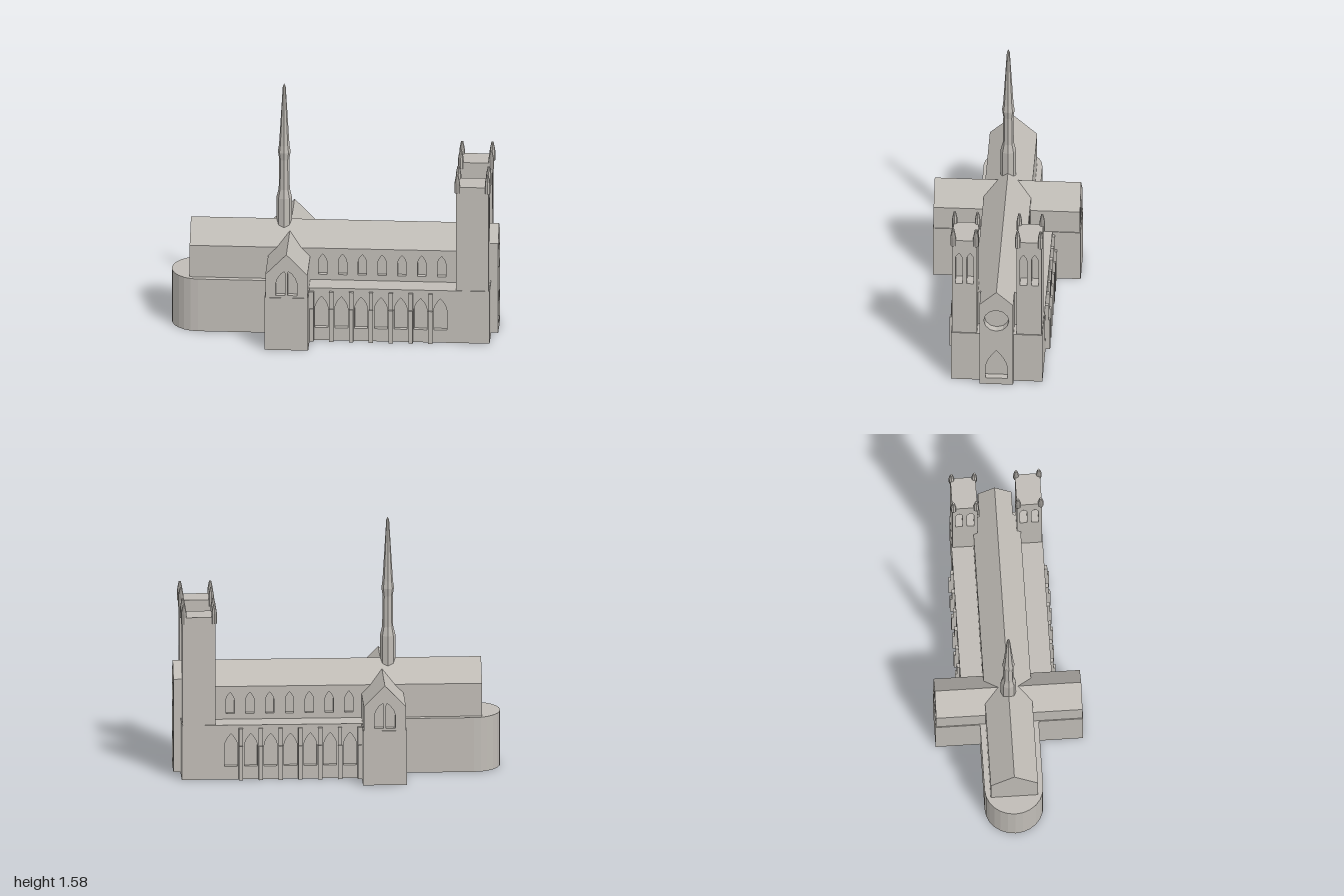
import * as THREE from 'three';

const stone = new THREE.MeshStandardMaterial({ color: 0xc0bcb6 });
stone.name = 'stone';

const AISLE = 0.345, EAVES = 0.553, RIDGE = 0.685;

function add(parent, name, geometry, x = 0, y = 0, z = 0) {
  const mesh = new THREE.Mesh(geometry, stone);
  mesh.name = name;
  mesh.position.set(x, y, z);
  parent.add(mesh);
  return mesh;
}

// Box given by its limits along the three axes
function block(parent, name, x0, x1, y0, y1, z0, z1) {
  return add(parent, name, new THREE.BoxGeometry(x1 - x0, y1 - y0, z1 - z0),
    (x0 + x1) / 2, (y0 + y1) / 2, (z0 + z1) / 2);
}

const polygon = (points) => new THREE.Shape(points.map(([x, y]) => new THREE.Vector2(x, y)));
const rect = (x0, x1, y0, y1) => polygon([[x0, y0], [x1, y0], [x1, y1], [x0, y1]]);
const gable = (half, y0, eaves, ridge, cx = 0) =>
  polygon([[cx - half, y0], [cx + half, y0], [cx + half, eaves], [cx, ridge], [cx - half, eaves]]);

// Pointed opening: straight jambs and two curved sides meeting at the top
function lancet(cx, width, y0, y1) {
  const h = width / 2, spring = y1 - width * 0.95;
  const path = new THREE.Path();
  path.moveTo(cx - h, y0);
  path.lineTo(cx + h, y0);
  path.lineTo(cx + h, spring);
  path.quadraticCurveTo(cx + h * 0.9, spring + (y1 - spring) * 0.5, cx, y1);
  path.quadraticCurveTo(cx - h * 0.9, spring + (y1 - spring) * 0.5, cx - h, spring);
  path.lineTo(cx - h, y0);
  return path;
}

// Profile pushed along z, or along x when it describes an end wall
function slab(shape, from, to, holes = [], alongX = false) {
  shape.holes.push(...holes);
  const g = new THREE.ExtrudeGeometry(shape, { depth: to - from, bevelEnabled: false, curveSegments: 6 });
  g.translate(0, 0, from);
  return alongX ? g.rotateY(Math.PI / 2) : g;
}

function faceted(geometry) {
  const g = geometry.toNonIndexed();
  g.computeVertexNormals();
  return g;
}

const lathe = (points, sides) =>
  faceted(new THREE.LatheGeometry(points.map(([r, y]) => new THREE.Vector2(r, y)), sides));

function buildNave(church) {
  const bays = Array.from({ length: 7 }, (_, i) => 0.244 + i * 0.1215);

  // Tall central body with clerestory windows
  block(church, 'naveCore', -0.572, 1.17, 0, EAVES, -0.117, 0.117);
  const roof = polygon([[-0.145, EAVES], [0.145, EAVES], [0, RIDGE]]);
  add(church, 'naveRoof', slab(roof, -0.572, 1.17, [], true));

  // Low side aisles
  block(church, 'aisleCore', 0.1, 1.275, 0, AISLE, -0.25, 0.25);
  for (const side of [-1, 1]) {
    const wall = (shape, outer, thick, holes) =>
      side > 0 ? slab(shape, outer - thick, outer, holes) : slab(shape, -outer, thick - outer, holes);
    add(church, 'clerestoryWall', wall(rect(-0.572, 1.17, 0.3, EAVES), 0.145, 0.028,
      bays.map((x) => lancet(x, 0.052, 0.38, 0.515))));
    add(church, 'aisleWall', wall(rect(0.1, 1.275, 0, AISLE), 0.28, 0.03,
      bays.map((x) => lancet(x, 0.08, 0.083, 0.29))));

    // Stepped buttresses between the bays
    for (const bay of bays) {
      const x = bay - 0.06;
      const lower = [side * 0.27, side * 0.308].sort((a, b) => a - b);
      const upper = [side * 0.27, side * 0.297].sort((a, b) => a - b);
      block(church, 'buttressLower', x - 0.013, x + 0.013, 0, 0.215, ...lower);
      block(church, 'buttressUpper', x - 0.013, x + 0.013, 0.215, 0.325, ...upper);
    }
  }
}

function buildChoir(church) {
  block(church, 'choir', -0.52, 0, 0, AISLE, -0.18, 0.18);
  const apse = new THREE.CylinderGeometry(0.18, 0.18, AISLE, 24);
  apse.scale(0.94, 1, 1);
  add(church, 'apse', faceted(apse), -0.52, AISLE / 2, 0);
}

function buildTransept(church) {
  const cx = 0.038;
  block(church, 'transeptBase', cx - 0.134, cx + 0.134, 0, AISLE, -0.453, 0.453);
  const profile = () => gable(0.129, AISLE, 0.497, 0.63, cx);
  add(church, 'transeptBody', slab(profile(), -0.417, 0.417));
  // Paired windows: each light is half of one large pointed arch
  const lights = () => [-1, 1].map((s) => new THREE.Path([
    [0.008, 0.36], [0.065, 0.36], [0.065, 0.44], [0.055, 0.472], [0.034, 0.502], [0.012, 0.518], [0.008, 0.505],
  ].map(([x, y]) => new THREE.Vector2(cx + s * x, y))));
  add(church, 'transeptFrontGable', slab(profile(), 0.417, 0.449, lights()));
  add(church, 'transeptBackGable', slab(profile(), -0.449, -0.417, lights()));
}

function buildPorch(church) {
  const slope = (RIDGE - EAVES) / 0.145;
  const profile = () => gable(0.103, 0, RIDGE - slope * 0.103, RIDGE);
  add(church, 'porchBody', slab(profile(), 1.15, 1.27, [], true));
  const rose = new THREE.Path();
  rose.absarc(0, 0.473, 0.077, 0, Math.PI * 2);
  add(church, 'porchFacade', slab(profile(), 1.27, 1.318, [lancet(0, 0.135, 0.045, 0.25), rose], true));
}

function buildTower(church, side) {
  const tower = new THREE.Group();
  tower.name = side > 0 ? 'frontTower' : 'backTower';
  tower.position.set(1.169, 0, side * 0.198);
  church.add(tower);

  // Shaft with deep paired belfry openings on both ends
  add(tower, 'towerShaft', slab(rect(-0.077, 0.077, 0.3, 1.03), -0.1, 0.1,
    [-1, 1].map((s) => lancet(s * 0.035, 0.043, 0.71, 0.935)), true));
  block(tower, 'belfryCore', -0.02, 0.02, 0.69, 0.95, -0.07, 0.07);

  // Corner pinnacles
  const pinnacle = lathe([[0, 0.99], [0.017, 0.99], [0.017, 1.055], [0.013, 1.08], [0.007, 1.11], [0, 1.112]], 8);
  for (const x of [-0.093, 0.093])
    for (const z of [-0.07, 0.07]) add(tower, 'pinnacle', pinnacle, x, 0, z);
}

function buildSpire(church) {
  add(church, 'spire', lathe([
    [0.047, 0.6], [0.047, 0.83], [0.034, 0.885], [0.031, 1.08], [0.039, 1.13],
    [0.032, 1.175], [0.009, 1.56], [0, 1.58],
  ], 8));
}

export function createModel() {
  const model = new THREE.Group();
  model.name = 'cathedral';

  // The long axis runs at a slight angle to x
  const church = new THREE.Group();
  church.name = 'church';
  church.position.set(-0.32, 0, 0.006);
  church.rotation.y = 0.154;
  model.add(church);

  buildNave(church);
  buildChoir(church);
  buildTransept(church);
  buildPorch(church);
  buildTower(church, 1);
  buildTower(church, -1);
  buildSpire(church);
  return model;
}
